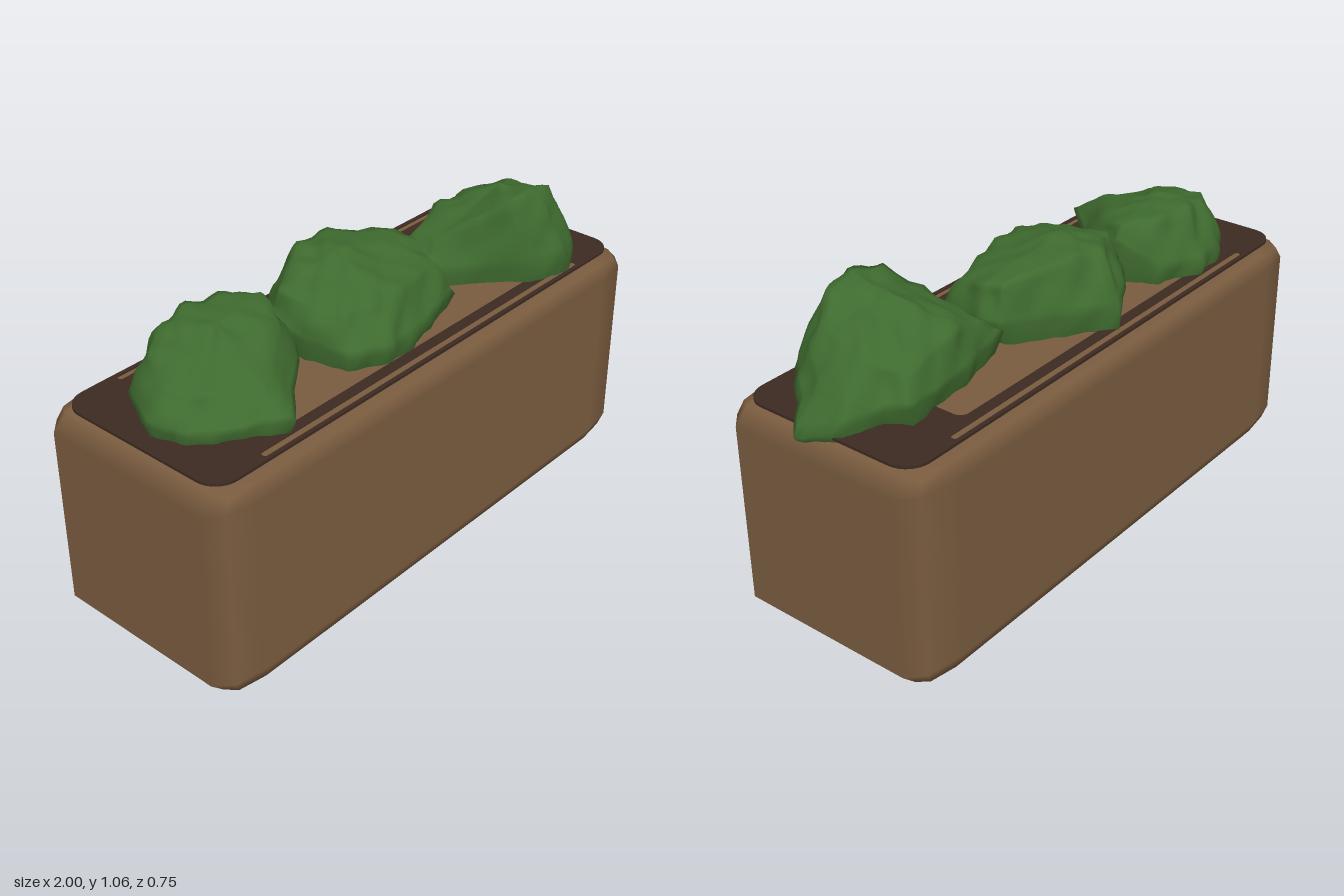
import * as THREE from 'three';
import { RoundedBoxGeometry } from 'three/addons/geometries/RoundedBoxGeometry.js';

const material = (name, color) => {
  const m = new THREE.MeshStandardMaterial({ color });
  m.name = name;
  return m;
};

// Rectangle with rounded corners, traced on a Shape or a Path
function roundRect(path, w, h, r, cy = 0) {
  const a = w / 2, b = h / 2, P = Math.PI;
  path.absarc(a - r, cy + b - r, r, 0, P / 2);
  path.absarc(-a + r, cy + b - r, r, P / 2, P);
  path.absarc(-a + r, cy - b + r, r, P, 1.5 * P);
  path.absarc(a - r, cy - b + r, r, 1.5 * P, 2 * P);
  path.closePath();
  return path;
}

// Small bumps for the leaf surface
const bump = (p) =>
  Math.sin(p.x * 31 + p.z * 14) * Math.sin(p.y * 37 + p.x * 9) * 0.008 +
  Math.sin(p.z * 43 - p.y * 21 + 1.3) * Math.sin(p.x * 53 + p.z * 17) * 0.007;

// Lumpy shrub lofted from a buried root ring, a wide ring and a crown ring to a peak
function shrubGeometry({ base, crown, peak }) {
  const n = base.length, across = 5, columns = n * across;
  const top = new THREE.Vector3(...peak);
  const wide = base.map((p) => new THREE.Vector3(...p));
  const upper = crown.map((p) => new THREE.Vector3(...p));
  const root = wide.map((p) => p.clone().lerp(top, 0.13).setY(0.68));
  const rings = [root, wide, upper, wide.map(() => top)];
  const steps = [2, 6, 7];
  const around = (ring, c) => {
    const i = Math.floor(c / across);
    return ring[i].clone().lerp(ring[(i + 1) % n], (c % across) / across);
  };
  const positions = [], index = [];
  let rows = 0;
  steps.forEach((count, k) => {
    const last = k === steps.length - 1;
    for (let s = 0; s < count + (last ? 1 : 0); s++, rows++) {
      for (let c = 0; c < columns; c++) {
        const p = around(rings[k], c).lerp(around(rings[k + 1], c), s / count);
        const out = p.clone().sub(new THREE.Vector3(top.x, 0.8, top.z)).normalize();
        p.addScaledVector(out, bump(p));
        positions.push(p.x, p.y, p.z);
      }
    }
  });
  for (let r = 0; r < rows - 1; r++) {
    for (let c = 0; c < columns; c++) {
      const a = r * columns + c, b = r * columns + ((c + 1) % columns);
      index.push(a, a + columns, b);
      if (r < rows - 2) index.push(b, a + columns, b + columns);
    }
  }
  const g = new THREE.BufferGeometry();
  g.setAttribute('position', new THREE.Float32BufferAttribute(positions, 3));
  g.setIndex(index);
  g.computeVertexNormals();
  // The peak is many coincident points, so its normal is set straight up
  for (let c = 0; c < columns; c++) g.attributes.normal.setXYZ((rows - 1) * columns + c, 0, 1, 0);
  return g;
}

const shrubs = {
  rightShrub: {
    base: [[-.91, .79, 0], [-.82, .79, -.18], [-.66, .79, -.28], [-.53, .79, -.29], [-.38, .8, -.22],
      [-.3, .9, -.1], [-.32, .8, .03], [-.62, .8, .3], [-.76, .78, .2], [-.88, .78, .1]],
    crown: [[-.83, .89, -.01], [-.77, .92, -.12], [-.66, .95, -.19], [-.55, .96, -.2], [-.42, .96, -.17],
      [-.34, .95, -.1], [-.38, .92, .02], [-.62, .87, .2], [-.72, .87, .13], [-.81, .88, .07]],
    peak: [-.57, .965, -.05],
  },
  middleShrub: {
    base: [[-.32, .85, -.1], [-.22, .82, -.2], [-.05, .82, -.3], [.1, .82, -.2], [.27, .82, -.08], [.28, .82, 0],
      [.25, .8, .18], [0, .8, .25], [-.15, .8, .27], [-.28, .8, .2], [-.32, .82, .05]],
    crown: [[-.28, .94, -.08], [-.2, .96, -.14], [-.08, .99, -.2], [.06, .99, -.16], [.24, .95, -.07], [.26, .94, 0],
      [.22, .91, .12], [0, .93, .17], [-.13, .94, .18], [-.23, .92, .14], [-.28, .93, .04]],
    peak: [-.07, 1.01, -.05],
  },
  leftShrub: {
    base: [[.28, .82, -.1], [.5, .8, -.15], [.78, .82, -.19], [.82, .8, -.11], [.95, .78, -.07], [.99, .72, .08],
      [.91, .78, .13], [.85, .8, .2], [.75, .8, .3], [.65, .82, .33], [.54, .8, .27], [.28, .8, .02]],
    crown: [[.38, .89, -.08], [.5, .93, -.11], [.74, .9, -.14], [.78, .92, -.08], [.81, .94, -.02], [.82, .94, .06],
      [.8, .95, .12], [.77, .98, .17], [.7, 1.03, .21], [.6, 1.06, .22], [.48, 1.03, .19], [.38, .91, .03]],
    peak: [.6, 1.03, .08],
  },
};

export function createModel() {
  const model = new THREE.Group();
  model.name = 'planter';
  const wood = material('planter brown', 0x7a5c3f);
  const earth = material('soil brown', 0x3d2b22);
  const leaf = material('leaf green', 0x3f6b2f);
  const add = (name, geometry, mat) => {
    const mesh = new THREE.Mesh(geometry, mat);
    mesh.name = name;
    model.add(mesh);
    return mesh;
  };

  // Trough: bevelled box stretched lengthwise
  const trough = new RoundedBoxGeometry(0.8, 0.75, 0.75, 1, 0.07);
  trough.scale(2.5, 1, 1).translate(0, 0.375, 0);
  add('trough', trough, wood);

  // Soil: thin sheet, open where the trough top shows through
  const sheet = roundRect(new THREE.Shape(), 1.9, 0.65, 0.08);
  sheet.holes.push(roundRect(new THREE.Path(), 1.3, 0.5, 0.03));
  for (const s of [-1, 1]) sheet.holes.push(roundRect(new THREE.Path(), 1.5, 0.022, 0.01, s * 0.3));
  const soil = new THREE.ExtrudeGeometry(sheet, { depth: 0.009, bevelEnabled: false, curveSegments: 4 });
  soil.rotateX(-Math.PI / 2).translate(0, 0.743, 0);
  add('soil', soil, earth);

  // Shrubs
  for (const [name, spec] of Object.entries(shrubs)) add(name, shrubGeometry(spec), leaf);

  return model;
}
